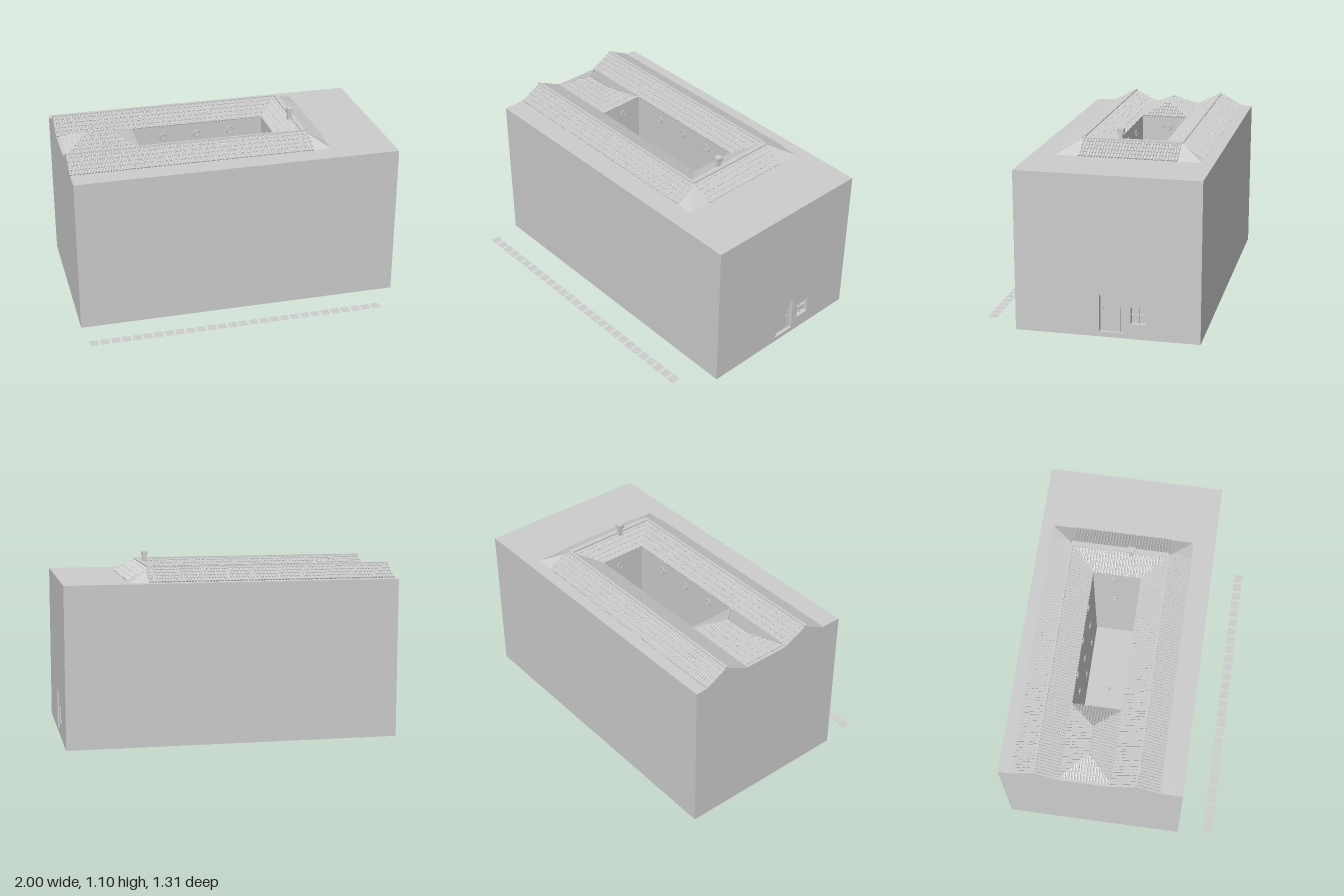
import * as THREE from 'three';

const V = (x, y, z) => new THREE.Vector3(x, y, z);
const EAVE = 0.96, RISE = 0.075, RIDGE = EAVE + RISE;

export function createModel() {
  const model = new THREE.Group();
  const grey = new THREE.MeshStandardMaterial({ color: 0xcccccc, side: THREE.DoubleSide });
  grey.name = 'plaster grey';

  const add = (name, geometry, parent = model) => {
    const mesh = new THREE.Mesh(geometry, grey);
    mesh.name = name;
    parent.add(mesh);
    return mesh;
  };
  const box = (name, x0, x1, y0, y1, z0, z1, parent = model) => {
    const mesh = add(name, new THREE.BoxGeometry(x1 - x0, y1 - y0, z1 - z0), parent);
    mesh.position.set((x0 + x1) / 2, (y0 + y1) / 2, (z0 + z1) / 2);
    return mesh;
  };
  const group = (name) => {
    const g = new THREE.Group();
    g.name = name;
    model.add(g);
    return g;
  };
  const outline = (target, points) => {
    points.forEach(([x, y], i) => (i ? target.lineTo(x, y) : target.moveTo(x, y)));
    target.closePath();
    return target;
  };
  const rect = (x0, x1, y0, y1) => [[x0, y0], [x1, y0], [x1, y1], [x0, y1]];

  // Building body with an open courtyard
  const plan = outline(new THREE.Shape(), rect(-1, 0.97, -0.435, 0.655));
  plan.holes.push(outline(new THREE.Path(), rect(-0.53, 0.33, -0.01, 0.29)));
  add('body', new THREE.ExtrudeGeometry(plan, { depth: EAVE, bevelEnabled: false }).rotateX(-Math.PI / 2));
  box('courtyardFloor', -0.54, 0.34, 0, 0.02, -0.3, 0.02);
  box('courtyardPost', -0.108, -0.102, 0.02, 0.08, -0.15, -0.13);

  // End wall with door and window openings
  const wall = outline(new THREE.Shape(), rect(-0.435, 0.655, 0, EAVE));
  wall.holes.push(outline(new THREE.Path(), rect(0.065, 0.205, 0.03, 0.257)));
  wall.holes.push(outline(new THREE.Path(),
    [[0.25, 0.09], [0.34, 0.09], [0.34, 0.195], [0.275, 0.2], [0.25, 0.19]]));
  add('endWall', new THREE.ExtrudeGeometry(wall, { depth: 0.03, bevelEnabled: false }).rotateY(Math.PI / 2))
    .position.x = 0.97;

  const door = group('door');
  box('doorLeaf', 0.965, 0.978, 0.03, 0.25, -0.2, -0.07, door);
  for (const z of [-0.083, -0.185]) box('doorStile', 0.975, 0.985, 0.03, 0.18, z - 0.003, z + 0.003, door);
  box('doorHandle', 0.975, 0.988, 0.13, 0.14, -0.178, -0.17, door);
  const pane = group('endWindow');
  box('windowRail', 0.965, 0.985, 0.14, 0.145, -0.34, -0.25, pane);
  box('windowBar', 0.965, 0.98, 0.09, 0.195, -0.298, -0.292, pane);

  // Round courtyard windows: a raised ring around a thin disc
  const portholes = group('portholes');
  const porthole = (x, y, z, turn) => {
    const g = new THREE.Group();
    g.name = 'porthole';
    add('ring', new THREE.TorusGeometry(0.021, 0.005, 6, 16), g);
    add('glass', new THREE.CircleGeometry(0.02, 16), g).position.z = 0.001;
    g.position.set(x, y, z);
    g.rotation.y = turn;
    portholes.add(g);
  };
  for (const y of [0.89, 0.58, 0.27]) {
    for (const x of [-0.32, -0.1, 0.12]) {
      porthole(x, y, -0.29, 0);
      porthole(x, y, 0.01, Math.PI);
    }
    porthole(-0.53, y, -0.16, Math.PI / 2);
    porthole(0.33, y, -0.16, -Math.PI / 2);
  }

  // Surface from flat quads
  const quads = (list) => {
    const pos = [];
    for (const [a, b, c, d] of list) for (const p of [a, b, c, a, c, d]) pos.push(p.x, p.y, p.z);
    const g = new THREE.BufferGeometry();
    g.setAttribute('position', new THREE.Float32BufferAttribute(pos, 3));
    g.computeVertexNormals();
    return g;
  };

  // Roof slope: eave e0 to e1, rising by "up", cut back by a hip at each end,
  // with overlapping rows of tiles between distances from and to along the eave
  const roof = group('roof');
  let seed = 7;
  const rand = () => (seed = (seed * 16807) % 2147483647) / 2147483647;
  const PITCH = 0.018, ROWS = 5;
  const slope = (name, e0, e1, up, hip0 = 0, hip1 = 0, from = 0, to = e0.distanceTo(e1)) => {
    const length = e0.distanceTo(e1);
    const dir = e1.clone().sub(e0).normalize();
    const normal = dir.clone().cross(up).normalize();
    const at = (u, s, h) => e0.clone().addScaledVector(dir, u).addScaledVector(up, s).addScaledVector(normal, h);
    add(name + 'Base', quads([[e0, e1, at(length - hip1, 1, 0), at(hip0, 1, 0)]]), roof);

    const faces = [];
    const count = Math.round((to - from) / PITCH);
    for (let i = 0; i < count; i++) {
      const u = from + ((i + 0.5) * (to - from)) / count;
      const top = Math.min(1, hip0 ? u / hip0 : 1, hip1 ? (length - u) / hip1 : 1);
      for (let r = 0; r < ROWS; r++) {
        const s0 = r / ROWS, s1 = Math.min(top, (r + 1) / ROWS);
        if (s1 <= s0) break;
        const mid = u + (rand() - 0.5) * 0.003;
        const section = (s, h) => [[-0.007, 0], [-0.004, h], [0.004, h], [0.007, 0]]
          .map(([du, dh]) => at(mid + du, s, dh));
        const low = section(s0, 0.0085), high = section(s1, 0.0055);
        for (let k = 0; k < 3; k++) faces.push([low[k + 1], low[k], high[k], high[k + 1]].reverse());
        faces.push([low[0], low[3], low[2], low[1]]);
      }
    }
    add(name + 'Tiles', quads(faces), roof);
  };

  // Long wings
  slope('frontOuter', V(-1, EAVE, 0.3), V(0.61, EAVE, 0.3), V(0, RISE, -0.14), 0, 0.14, 0, 1.5);
  slope('frontInner', V(0.47, EAVE, 0.01), V(-1, EAVE, 0.01), V(0, RISE, 0.15));
  slope('backOuter', V(0.61, EAVE, -0.58), V(-1, EAVE, -0.58), V(0, RISE, 0.14), 0.14, 0, 0.11, 1.61);
  slope('backInner', V(-1, EAVE, -0.29), V(0.47, EAVE, -0.29), V(0, RISE, -0.15));

  // Cross wing beside the end wall
  slope('crossOuter', V(0.61, EAVE, 0.3), V(0.61, EAVE, -0.58), V(-0.14, RISE, 0), 0.14, 0.14, 0.14, 0.74);
  slope('crossInner', V(0.33, EAVE, -0.44), V(0.33, EAVE, 0.16), V(0.14, RISE, 0));

  // Small hipped roof at the other end of the courtyard
  const hx0 = -0.98, hx1 = -0.53, hz0 = -0.29, hz1 = 0.01;
  slope('hipFront', V(hx0, EAVE, hz1), V(hx1, EAVE, hz1), V(0, RISE, -0.15), 0.14, 0.14);
  slope('hipRight', V(hx1, EAVE, hz1), V(hx1, EAVE, hz0), V(-0.14, RISE, 0), 0.15, 0.15);
  slope('hipBack', V(hx1, EAVE, hz0), V(hx0, EAVE, hz0), V(0, RISE, 0.15), 0.14, 0.14);
  slope('hipLeft', V(hx0, EAVE, hz0), V(hx0, EAVE, hz1), V(0.14, RISE, 0), 0.15, 0.15);

  // Open gable ends of the long wings
  for (const [a, peak, b] of [[0.01, 0.16, 0.3], [-0.58, -0.44, -0.29]]) {
    const p = V(-1, RIDGE, peak);
    add('gable', quads([[V(-1, EAVE, a), V(-1, EAVE, b), p, p]]), roof);
  }

  // Ridge caps
  for (const z of [0.16, -0.44]) box('ridgeCap', -1, 0.47, RIDGE - 0.005, RIDGE + 0.008, z - 0.008, z + 0.008, roof);
  box('crossRidgeCap', 0.455, 0.485, RIDGE - 0.005, RIDGE + 0.007, -0.44, 0.16, roof);

  // Chimney
  const chimney = group('chimney');
  box('chimneyStack', 0.437, 0.463, 0.98, 1.078, -0.08, -0.055, chimney);
  box('chimneyHead', 0.432, 0.468, 1.074, 1.1, -0.087, -0.048, chimney);

  // Row of flat paving slabs in front
  const paving = group('paving');
  for (let i = 0; i < 28; i++) {
    add('slab', new THREE.PlaneGeometry(0.053, 0.056).rotateX(-Math.PI / 2), paving)
      .position.set(-0.952 + i * 0.0658, 0.001, 0.627);
  }
  return model;
}
